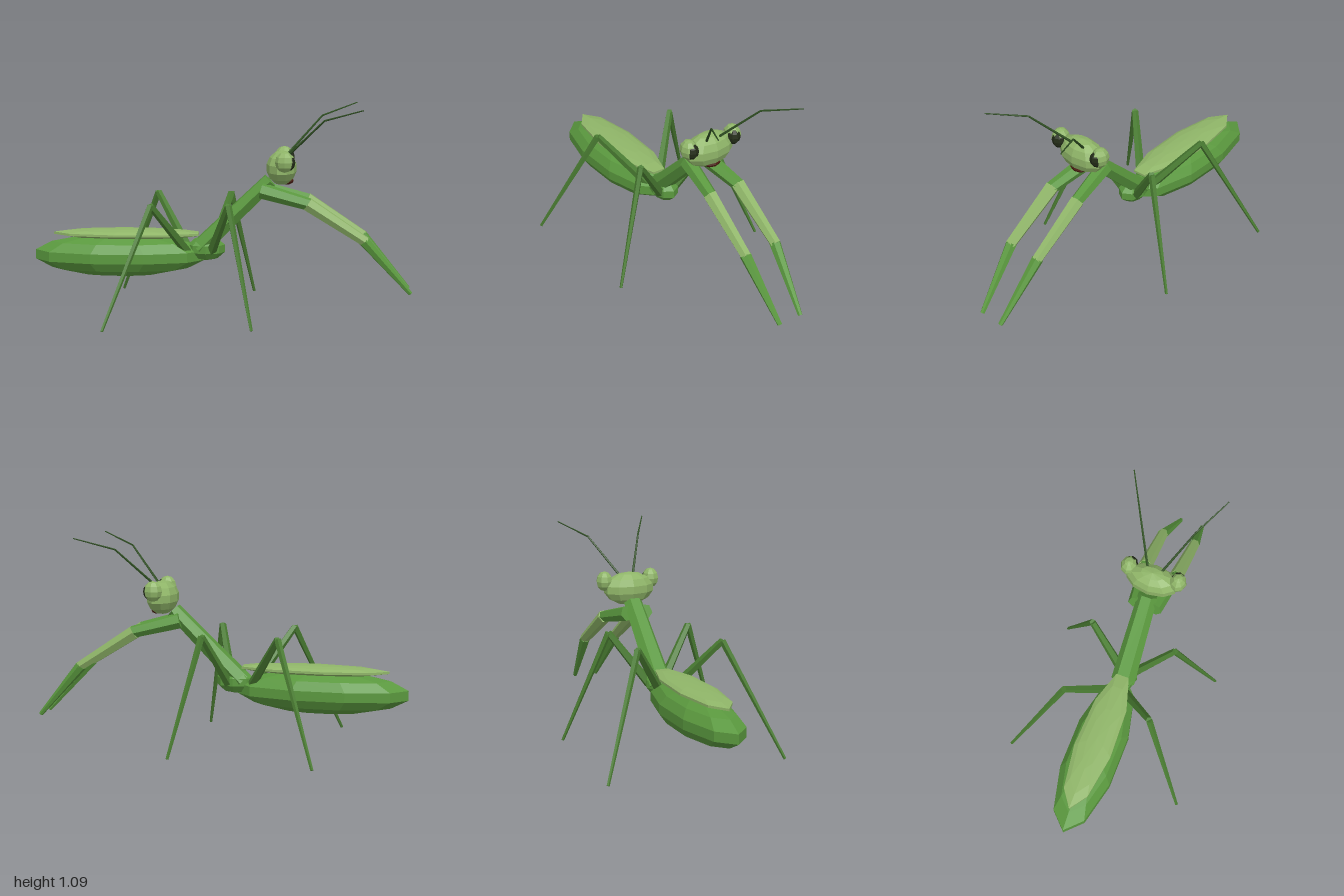
import * as THREE from 'three';

const mat = (name, color) => {
  const m = new THREE.MeshStandardMaterial({ color, flatShading: true });
  m.name = name;
  return m;
};

export function createModel() {
  const root = new THREE.Group();
  root.name = 'mantis';
  const green = mat('leaf green', 0x5a983e);
  const light = mat('pale green', 0x8fb568);
  const dark = mat('leg green', 0x4a7d32);
  const feeler = mat('feeler green', 0x2f4f22);
  const black = mat('eye black', 0x232c18);
  const brown = mat('mouth brown', 0x4a1c10);

  // Faceted ellipsoid
  function blob(name, material, pos, radii, w, h) {
    const mesh = new THREE.Mesh(new THREE.SphereGeometry(1, w, h), material);
    mesh.name = name;
    mesh.position.set(...pos);
    mesh.scale.set(...radii);
    root.add(mesh);
    return mesh;
  }

  // Tapered rod from a to b
  function limb(name, material, a, b, ra, rb, sides = 6) {
    const from = new THREE.Vector3(...a), to = new THREE.Vector3(...b);
    const dir = to.clone().sub(from);
    const mesh = new THREE.Mesh(new THREE.CylinderGeometry(rb, ra, dir.length(), sides), material);
    mesh.name = name;
    mesh.position.copy(from).add(to).multiplyScalar(0.5);
    mesh.quaternion.setFromUnitVectors(new THREE.Vector3(0, 1, 0), dir.normalize());
    root.add(mesh);
    return mesh;
  }

  // Body
  blob('abdomen', green, [-0.55, 0.3, 0], [0.461, 0.114, 0.15], 10, 7);
  blob('wings', light, [-0.503, 0.415, 0], [0.407, 0.027, 0.105], 9, 7);
  blob('thorax', green, [-0.09, 0.338, 0], [0.103, 0.065, 0.07], 8, 5);
  const neck = limb('neck', green, [-0.13, 0.335, 0], [0.245, 0.703, 0], 0.052, 0.042);
  neck.scale.z = 1.25;

  // Head
  blob('head', light, [0.305, 0.77, 0], [0.08, 0.09, 0.144], 10, 7);
  blob('mouth', brown, [0.333, 0.702, 0], [0.036, 0.021, 0.05], 8, 6);

  // Paired parts
  for (const s of [1, -1]) {
    const side = s > 0 ? 'left' : 'right';
    const p = (x, y, z) => [x, y, z * s];

    blob(side + 'Eye', light, p(0.32, 0.815, 0.135), [0.05, 0.054, 0.045], 8, 6);
    blob(side + 'Pupil', black, p(0.339, 0.812, 0.13), [0.036, 0.043, 0.037], 8, 6);

    limb(side + 'AntennaBase', feeler, p(0.34, 0.84, 0.04), p(0.52, 1.03, 0.15), 0.007, 0.005, 5);
    limb(side + 'AntennaTip', feeler, p(0.52, 1.03, 0.15), p(0.71, 1.092, 0.255), 0.005, 0.003, 5);

    limb(side + 'ForelegUpper', green, p(0.2, 0.655, 0.05), p(0.45, 0.59, 0.088), 0.043, 0.033);
    limb(side + 'ForelegMiddle', light, p(0.44, 0.592, 0.088), p(0.745, 0.395, 0.093), 0.038, 0.028);
    limb(side + 'ForelegClaw', green, p(0.735, 0.4, 0.093), p(0.984, 0.116, 0.065), 0.03, 0.012);

    // Walking legs: hip, knee, foot
    const legs = [
      ['MiddleLeg', p(-0.06, 0.33, 0.04), p(0.035, 0.602, 0.23), p(0.158, 0.006, 0.448)],
      ['RearLeg', p(-0.19, 0.33, 0.04), p(-0.362, 0.602, 0.235), p(-0.587, 0.006, 0.488)],
    ];
    for (const [name, hip, knee, foot] of legs) {
      limb(side + name + 'Thigh', dark, hip, knee, 0.026, 0.018, 5);
      limb(side + name + 'Shin', dark, knee, foot, 0.018, 0.008, 5);
    }
  }
  return root;
}
